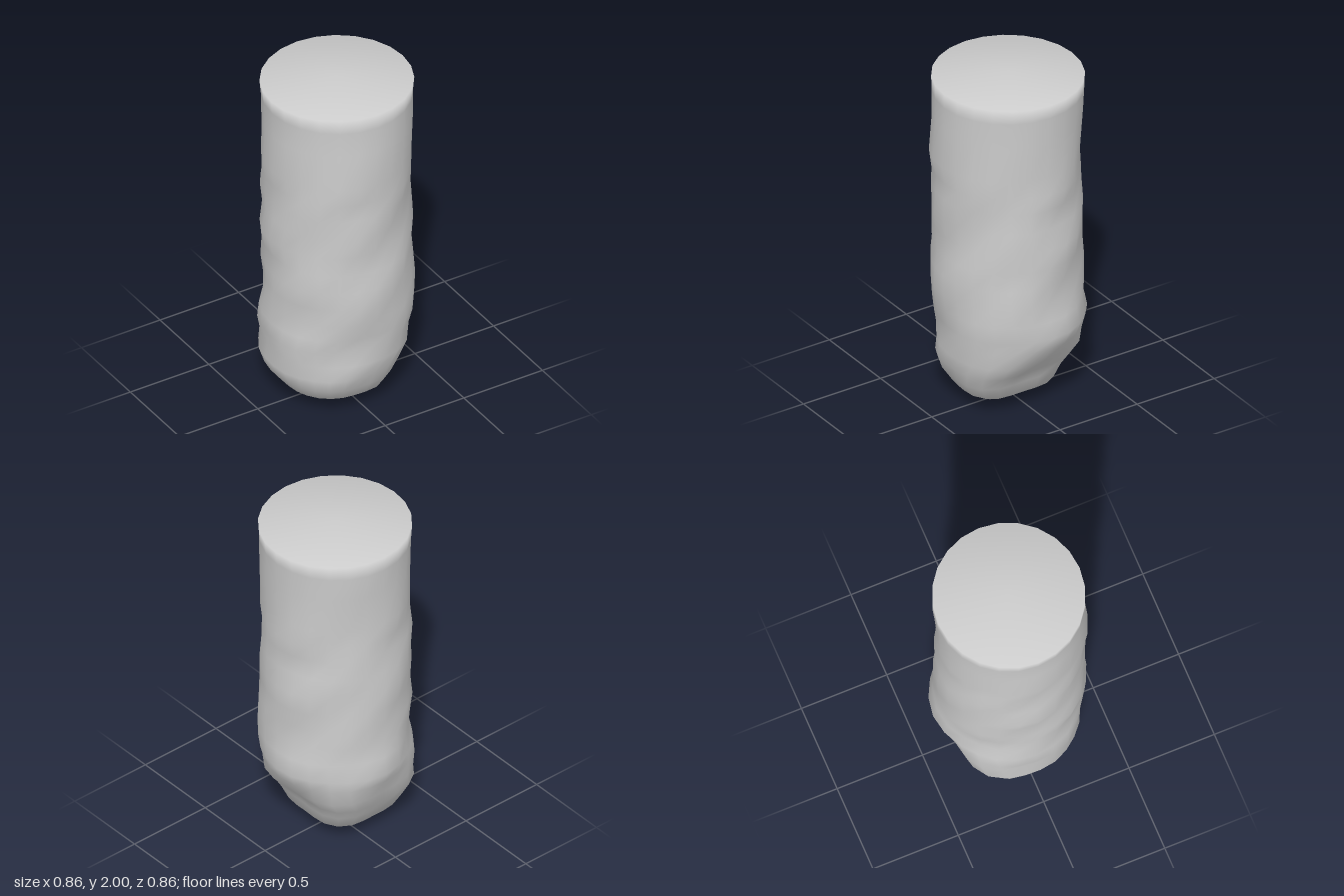
import * as THREE from 'three';

const SEGMENTS = 24;

// Outline of each ring: height, then x and z limits
const RINGS = [
  [0.04, -0.21, 0.10, -0.13, 0.20],
  [0.10, -0.32, 0.19, -0.24, 0.29],
  [0.18, -0.38, 0.22, -0.28, 0.34],
  [0.26, -0.41, 0.27, -0.33, 0.37],
  [0.35, -0.40, 0.35, -0.37, 0.39],
  [0.45, -0.43, 0.40, -0.40, 0.39],
  [0.53, -0.42, 0.43, -0.43, 0.41],
  [0.63, -0.41, 0.42, -0.41, 0.42],
  [0.74, -0.41, 0.41, -0.41, 0.43],
  [0.85, -0.42, 0.41, -0.41, 0.43],
  [0.96, -0.41, 0.41, -0.41, 0.42],
  [1.08, -0.43, 0.42, -0.41, 0.41],
  [1.20, -0.41, 0.40, -0.41, 0.42],
  [1.32, -0.42, 0.40, -0.40, 0.42],
  [1.42, -0.41, 0.41, -0.40, 0.42],
  [1.53, -0.42, 0.40, -0.40, 0.43],
  [1.75, -0.41, 0.41, -0.40, 0.42],
  [1.90, -0.41, 0.41, -0.41, 0.42],
  [1.985, -0.42, 0.42, -0.41, 0.42],
];

// Shallow folds that climb around the body and fade out at both ends
function fold(angle, y) {
  const fade = THREE.MathUtils.smoothstep(y, 0.02, 0.3) * (1 - THREE.MathUtils.smoothstep(y, 1.4, 1.9));
  const turn = angle - 2.8 * y;
  const wave = Math.sin(5 * turn) + 0.8 * Math.sin(3 * turn + 6 * y) + 0.5 * Math.sin(4 * angle + 13 * y);
  return 1 + (0.012 * wave - 0.01) * fade;
}

// The lower end is boxy on three corners and round on the front right one
function corner(angle, y) {
  const isRound = Math.sin(angle) < 0 && Math.cos(angle) > 0;
  return isRound ? 1 : 1 + 0.17 * (1 - THREE.MathUtils.smoothstep(y, 0.15, 0.55)) * Math.sin(2 * angle) ** 2;
}

function bodyGeometry() {
  const points = [];
  const index = [];
  for (const [y, x0, x1, z0, z1] of RINGS) {
    for (let j = 0; j < SEGMENTS; j++) {
      const a = (j / SEGMENTS) * Math.PI * 2;
      const r = fold(a, y) * corner(a, y);
      points.push(
        (x0 + x1) / 2 + ((x1 - x0) / 2) * r * Math.sin(a),
        y,
        (z0 + z1) / 2 + ((z1 - z0) / 2) * r * Math.cos(a),
      );
    }
  }
  const bottom = points.length / 3;
  const top = bottom + 1;
  points.push(-0.07, 0, 0.04, 0, 2, 0);

  const last = (RINGS.length - 1) * SEGMENTS;
  for (let j = 0; j < SEGMENTS; j++) {
    const k = (j + 1) % SEGMENTS;
    // Rounded tip and nearly flat top
    index.push(bottom, k, j, last + j, last + k, top);
    // Wall, with diagonals running along the folds
    for (let i = 0; i < last; i += SEGMENTS) {
      const up = i + SEGMENTS;
      index.push(i + j, i + k, up + k, i + j, up + k, up + j);
    }
  }

  const geometry = new THREE.BufferGeometry();
  geometry.setAttribute('position', new THREE.Float32BufferAttribute(points, 3));
  geometry.setIndex(index);
  geometry.computeVertexNormals();
  return geometry;
}

export function createModel() {
  const model = new THREE.Group();
  const body = new THREE.Mesh(bodyGeometry(), new THREE.MeshStandardMaterial({ color: 0xcccccc }));
  body.name = 'foldedColumnBody';
  model.add(body);
  return model;
}
